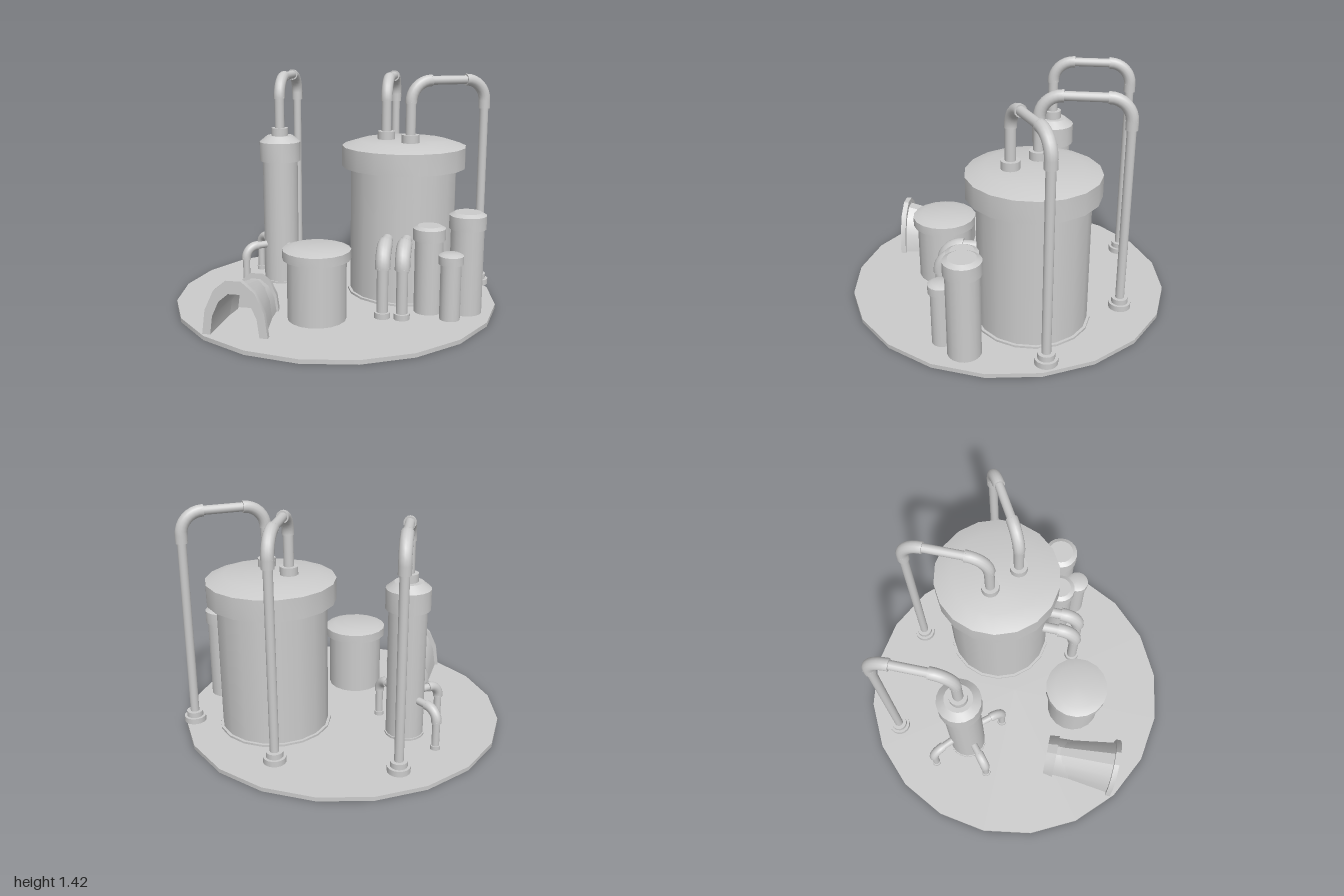
import * as THREE from 'three';
import { toCreasedNormals } from 'three/addons/utils/BufferGeometryUtils.js';

const grey = new THREE.MeshStandardMaterial({ color: 0xcccccc });
const greyDouble = new THREE.MeshStandardMaterial({ color: 0xcccccc, side: THREE.DoubleSide });
const FLOOR = 0.025;

function add(parent, name, geometry, x = 0, y = 0, z = 0, material = grey) {
  const mesh = new THREE.Mesh(geometry, material);
  mesh.name = name;
  mesh.position.set(x, y, z);
  parent.add(mesh);
  return mesh;
}

function addGroup(parent, name, x = 0, z = 0) {
  const g = new THREE.Group();
  g.name = name;
  g.position.set(x, 0, z);
  parent.add(g);
  return g;
}

// Turned solid from [radius, height] pairs, bottom to top
function turned(profile, sides = 18) {
  const points = profile.map(([r, y]) => new THREE.Vector2(r, y));
  return toCreasedNormals(new THREE.LatheGeometry(points, sides), 0.5);
}

// Upright cylinder between two heights
function post(parent, name, r, y0, y1, x = 0, z = 0, sides = 16) {
  return add(parent, name, new THREE.CylinderGeometry(r, r, y1 - y0, sides), x, (y0 + y1) / 2, z);
}

// Cylinder lying along local x
function bar(parent, name, r, x0, x1, y) {
  const m = add(parent, name, new THREE.CylinderGeometry(r, r, x1 - x0, 16), (x0 + x1) / 2, y, 0);
  m.rotation.z = Math.PI / 2;
  return m;
}

// Quarter bend in the local xy plane
function elbow(parent, bend, r, cx, cy, start) {
  const m = add(parent, 'pipeElbow', new THREE.TorusGeometry(bend, r, 14, 8, Math.PI / 2), cx, cy, 0);
  m.rotation.z = start;
}

// Vessel: body, overhanging lid with a bevelled top
function vessel(parent, name, x, z, bodyR, lidR, topR, lidY, bevelY, topY) {
  const g = addGroup(parent, name, x, z);
  post(g, 'body', bodyR, FLOOR, lidY + 0.01, 0, 0, 18);
  add(g, 'lid', turned([[0, lidY], [lidR, lidY], [lidR, bevelY], [topR, topY], [0, topY]]));
  return g;
}

// Tall pipe rising from a vessel, crossing over and dropping to a foot
function overheadPipe(parent, x0, z0, x1, z1) {
  const g = addGroup(parent, 'overheadPipe', x0, z0);
  const len = Math.hypot(x1 - x0, z1 - z0);
  g.rotation.y = Math.atan2(z0 - z1, x1 - x0);
  const bend = 0.13, y = 1.25, top = y + bend;
  post(g, 'collar', 0.055, 0.98, 1.055);
  post(g, 'riser', 0.031, 1.0, y);
  post(g, 'sleeve', 0.036, y - 0.005, y + 0.005);
  elbow(g, bend, 0.036, bend, y, Math.PI / 2);
  bar(g, 'sleeve', 0.036, bend - 0.005, bend + 0.005, top);
  bar(g, 'crossPipe', 0.027, bend, len - bend, top);
  bar(g, 'sleeve', 0.036, len - bend - 0.005, len - bend + 0.005, top);
  elbow(g, bend, 0.036, len - bend, y, 0);
  post(g, 'sleeve', 0.036, 1.2, y, len);
  post(g, 'downPipe', 0.027, 0.05, 1.21, len);
  post(g, 'foot', 0.067, 0.05, 0.085, len);
  post(g, 'footRing', 0.05, 0.085, 0.118, len);
}

// Short pipe leaving a vessel sideways and bending down to the floor
function drainPipe(parent, x, z, angle, reach, axisY, bend, pipeR, elbowR, footR, footY) {
  const g = addGroup(parent, 'drainPipe', x, z);
  g.rotation.y = angle;
  const cx = reach - bend, cy = axisY - bend;
  bar(g, 'outlet', pipeR, 0, cx, axisY);
  bar(g, 'sleeve', elbowR, cx - 0.008, cx + 0.002, axisY);
  elbow(g, bend, elbowR, cx, cy, 0);
  post(g, 'sleeve', elbowR, cy - 0.008, cy + 0.002, reach);
  post(g, 'downPipe', pipeR, FLOOR, cy, reach);
  post(g, 'foot', footR, FLOOR, footY, reach);
}

// Arched shell lofted through [z, half width, height] rings
function archLoft(rings, n = 7) {
  const pos = [], index = [];
  for (const [z, w, h] of rings)
    for (let i = 0; i <= n; i++) {
      const a = (i / n) * Math.PI;
      pos.push(Math.cos(a) * w, Math.sin(a) * h, z);
    }
  for (let r = 0; r < rings.length - 1; r++)
    for (let i = 0; i < n; i++) {
      const a = r * (n + 1) + i, b = a + n + 1;
      index.push(a, b, a + 1, b, b + 1, a + 1);
    }
  const geo = new THREE.BufferGeometry();
  geo.setAttribute('position', new THREE.Float32BufferAttribute(pos, 3));
  geo.setIndex(index);
  return toCreasedNormals(geo, 0.55);
}

export function createModel() {
  const model = new THREE.Group();
  model.name = 'processingPlant';

  add(model, 'basePlate', new THREE.CylinderGeometry(1, 1, FLOOR, 20), 0, FLOOR / 2, 0);

  // Vessels
  const tank = vessel(model, 'mainTank', 0.4, -0.195, 0.333, 0.39, 0.28, 0.84, 0.97, 1.005);
  post(tank, 'baseRing', 0.35, FLOOR, 0.038, 0, 0, 18);
  const column = vessel(model, 'column', -0.42, -0.24, 0.115, 0.134, 0.085, 0.84, 0.965, 1.005);
  post(column, 'baseRing', 0.122, FLOOR, 0.038, 0, 0, 18);
  vessel(model, 'drum', -0.03, 0.42, 0.174, 0.2, 0.145, 0.39, 0.445, 0.462);

  // Cluster of canisters
  vessel(model, 'canister', 0.6, 0.185, 0.085, 0.097, 0.07, 0.47, 0.54, 0.555);
  vessel(model, 'canister', 0.82, 0.143, 0.099, 0.11, 0.08, 0.54, 0.62, 0.637);
  vessel(model, 'canister', 0.735, 0.287, 0.061, 0.073, 0.05, 0.36, 0.41, 0.422);

  // Overhead pipes
  overheadPipe(model, -0.42, -0.238, -0.42, -0.722);
  overheadPipe(model, 0.286, -0.21, 0.286, -0.722);
  overheadPipe(model, 0.452, -0.07, 0.887, -0.322);

  // Drain pipes around the column
  for (const [dx, dz] of [[-0.195, -0.175], [-0.195, 0.17], [0.175, 0.2]])
    drainPipe(model, -0.42, -0.24, Math.atan2(-dz, dx), Math.hypot(dx, dz), 0.28, 0.075, 0.023, 0.03, 0.03, 0.05);

  // Twin drains at the front of the tank
  for (const x of [0.345, 0.46])
    drainPipe(model, x, 0.08, -Math.PI / 2, 0.263, 0.44, 0.11, 0.034, 0.045, 0.048, 0.06);

  // Arched entrance tunnel, flanged at both ends and closed at the back
  add(model, 'archedTunnel', archLoft([
    [0.31, 0, 0], [0.31, 0.128, 0.215], [0.375, 0.14, 0.238], [0.375, 0.115, 0.2],
    [0.75, 0.167, 0.29], [0.75, 0.189, 0.328], [0.783, 0.189, 0.328],
    [0.783, 0.142, 0.25], [0.35, 0.125, 0.2], [0.35, 0, 0],
  ]), -0.415, FLOOR, 0, greyDouble);

  return model;
}
